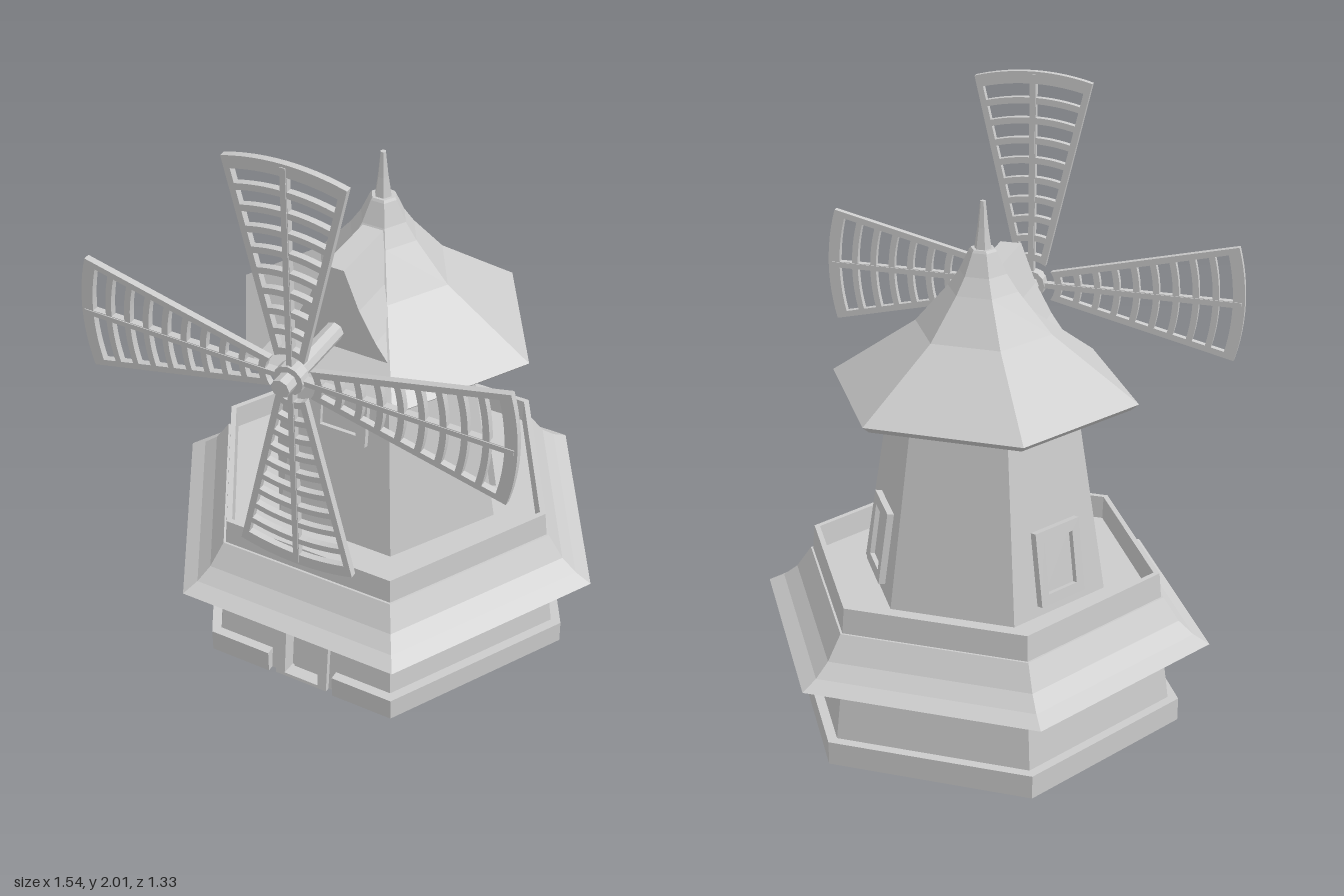
import * as THREE from 'three';

const material = new THREE.MeshStandardMaterial({ color: 0xcccccc, flatShading: true });
const HEX = Math.PI / 3;

function add(parent, name, geometry) {
  const mesh = new THREE.Mesh(geometry, material);
  mesh.name = name;
  parent.add(mesh);
  return mesh;
}

function group(parent, name) {
  const g = new THREE.Group();
  g.name = name;
  parent.add(g);
  return g;
}

const points = (list) => list.map(([x, y]) => new THREE.Vector2(x, y));

// Six-sided body of revolution with corners on the x axis
const hexLathe = (profile, sides = 6) =>
  new THREE.LatheGeometry(points(profile), sides, HEX / 2, sides * HEX);

// Extrusion of an outline with holes, from z0 to z1
function slab(outline, holes, z0, z1) {
  const shape = new THREE.Shape(points(outline));
  for (const h of holes) shape.holes.push(new THREE.Path(points(h)));
  return new THREE.ExtrudeGeometry(shape, { depth: z1 - z0, bevelEnabled: false }).translate(0, 0, z0);
}

const rect = (w, y0, y1) => [[-w, y0], [w, y0], [w, y1], [-w, y1]];
const arch = (w, y0, y1, c) => [[-w, y0], [w, y0], [w, y1 - c], [w - c * 0.7, y1], [-w + c * 0.7, y1], [-w, y1 - c]];

// Ground floor: notched plinth, walls with a door opening, flared skirt and parapet
function buildBase(parent) {
  const base = group(parent, 'base');
  const R = 0.675, a = R * Math.cos(HEX / 2);
  const plinth = [[-R / 2, -a], [-0.12, -a], [-0.12, -0.51], [0.12, -0.51], [0.12, -a],
    [R / 2, -a], [R, 0], [R / 2, a], [-R / 2, a], [-R, 0]];
  add(base, 'plinth', slab(plinth, [], 0, 0.08).rotateX(-Math.PI / 2));

  add(base, 'walls', hexLathe([[0.65, 0], [0.594, 0.42]], 5));

  // The front wall leans back with the other five
  const front = group(base, 'frontWall');
  const run = (0.65 - 0.594) * Math.cos(HEX / 2);
  front.position.z = 0.65 * Math.cos(HEX / 2);
  front.rotation.x = -Math.atan2(run, 0.42);
  const opening = arch(0.062, 0.012, 0.25, 0.05);
  add(front, 'wallPanel', slab([[-0.325, 0], [0.325, 0], [0.297, 0.42], [-0.297, 0.42]], [opening], -0.04, 0));
  add(front, 'doorFrame', slab(arch(0.095, 0, 0.275, 0.06), [opening], -0.02, 0.018));
  add(front, 'door', slab(arch(0.07, 0.005, 0.26, 0.05), [], -0.048, -0.036));
  add(front, 'doorPanel', slab(arch(0.05, 0.015, 0.215, 0.03), [], -0.04, -0.026));

  add(base, 'skirtRoofAndParapet', hexLathe([
    [0.59, 0.4], [0.65, 0.365], [0.755, 0.298], [0.77, 0.302], [0.715, 0.33], [0.665, 0.372], [0.612, 0.45],
    [0.604, 0.45], [0.596, 0.535], [0.576, 0.535], [0.572, 0.455], [0, 0.455]]));
}

// Tapered tower with three framed windows
function buildTower(parent) {
  const tower = group(parent, 'tower');
  tower.scale.z = 0.95;
  const radius = (y) => 0.4 - 0.159 * (y - 0.535);
  add(tower, 'towerWalls', hexLathe([[radius(0.45), 0.45], [radius(1.17), 1.17]]));

  for (const [turn, y] of [[0, 0.84], [2 * HEX, 0.49], [-2 * HEX, 0.49]]) {
    const side = group(tower, 'windowSide');
    side.rotation.y = turn;
    const win = group(side, 'window');
    win.position.set(0, y, radius(y) * Math.cos(HEX / 2));
    win.rotation.x = -Math.atan(0.159 * Math.cos(HEX / 2));
    add(win, 'windowFrame', slab(rect(0.098, 0, 0.25), [rect(0.064, 0.035, 0.213)], -0.01, 0.022));
    add(win, 'windowPane', slab(rect(0.066, 0.03, 0.215), [], -0.01, 0.006));
  }
}

// Bell-shaped cap with spire and a flared dormer that holds the shaft
function buildCap(parent) {
  const cap = group(parent, 'cap');
  const roof = add(cap, 'capRoof', hexLathe([
    [0.28, 1.15], [0.46, 1.1], [0.485, 1.095], [0.51, 1.117], [0.4, 1.195], [0.225, 1.32],
    [0.115, 1.45], [0.078, 1.505], [0.046, 1.575], [0.04, 1.583], [0, 1.583]]));
  roof.scale.z = 0.955;
  add(cap, 'spire', hexLathe([[0.03, 1.57], [0.018, 1.65], [0.009, 1.735], [0, 1.735]]));

  const half = [[0.21, 1.17], [0.14, 1.27], [0.085, 1.37], [0.035, 1.5]];
  const outline = [...half, ...half.map(([x, y]) => [-x, y]).reverse()];
  add(cap, 'dormer', slab(outline, [], 0.03, 0.313));
}

// Points along an arc about the hub, from x = xa to x = xb
function arc(r, xa, xb, n = 6) {
  return Array.from({ length: n + 1 }, (_, i) => {
    const x = xa + ((xb - xa) * i) / n;
    return [x, Math.sqrt(r * r - x * x)];
  });
}

// One lattice sail: arched rungs between a spine and two splayed edges
function sailGeometry() {
  const edge = (r) => 0.03 + 0.231 * r;
  const outline = [...arc(0.085, -edge(0.085), edge(0.085)), ...arc(0.735, edge(0.735), -edge(0.735), 12)];
  const holes = [];
  const pitch = 0.0675;
  for (let i = 0; i < 9; i++) {
    const r0 = 0.108 + i * pitch, r1 = r0 + pitch - 0.021;
    for (const s of [-1, 1]) {
      holes.push([...arc(r0, s * 0.011, s * (edge(r0) - 0.02)), ...arc(r1, s * (edge(r1) - 0.02), s * 0.011)]);
    }
  }
  return slab(outline, holes, -0.011, 0.011);
}

// Shaft, hub and four sails
function buildRotor(parent) {
  const rotor = group(parent, 'rotor');
  rotor.position.set(0, 1.27, 0.572);
  const rod = (name, r, z0, z1, n) => add(rotor, name,
    new THREE.CylinderGeometry(r, r, z1 - z0, n).rotateX(Math.PI / 2).translate(0, 0, (z0 + z1) / 2));
  rod('shaft', 0.031, -0.32, 0.068, 8);
  rod('hub', 0.05, -0.02, 0.022, 12);

  const sail = sailGeometry();
  const spine = new THREE.BoxGeometry(0.018, 0.7, 0.028).translate(0, 0.375, 0);
  for (let i = 0; i < 4; i++) {
    const arm = group(rotor, 'sail');
    arm.rotation.z = (i * Math.PI) / 2;
    add(arm, 'sailLattice', sail);
    add(arm, 'sailSpine', spine);
  }
}

export function createModel() {
  const model = new THREE.Group();
  model.name = 'windmill';
  buildBase(model);
  buildTower(model);
  buildCap(model);
  buildRotor(model);
  return model;
}
